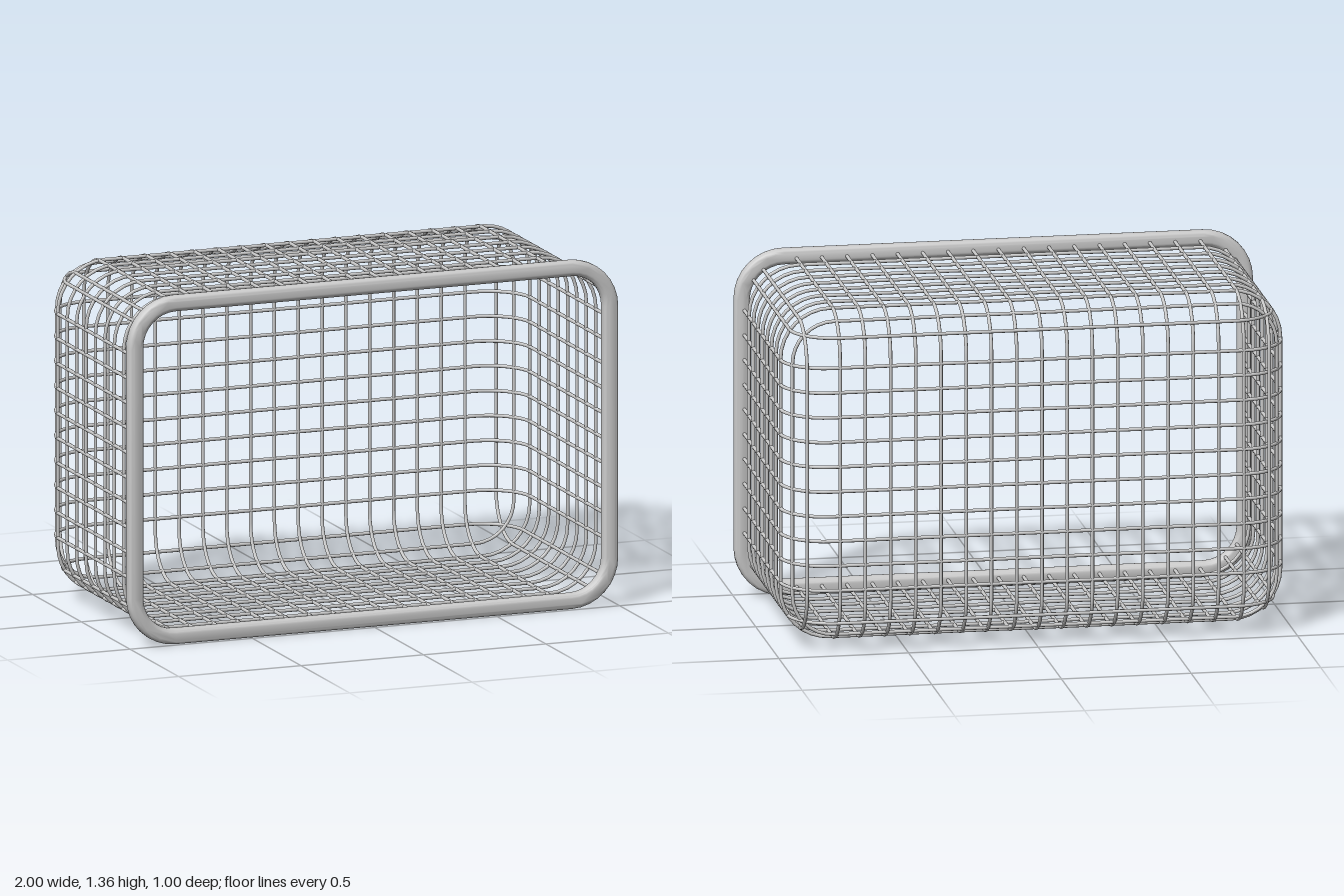
import * as THREE from 'three';
import { toCreasedNormals } from 'three/addons/utils/BufferGeometryUtils.js';

const MID_Y = 0.678;              // height of the basket's centre line
const HALF_W = 0.964, HALF_H = 0.643; // wire cage half sizes
const CORNER = 0.19;              // cage corner radius seen from the front
const BEND = 0.17;                // bend radius towards the back
const BACK = -0.493, FRONT = 0.47;
const WIRE = 0.007, STEP = 0.0973;

// Path through given points, with one tube section per point
class WirePath extends THREE.Curve {
  constructor(points, closed) {
    super();
    this.points = points;
    this.closed = closed;
  }
  getPointAt(u, target = new THREE.Vector3()) {
    return target.copy(this.points[Math.round(u * (this.points.length - 1))]);
  }
  getPoint(u, target) { return this.getPointAt(u, target); }
  getTangentAt(u, target = new THREE.Vector3()) {
    const p = this.points, n = p.length - 1, i = Math.round(u * n);
    const before = i > 0 ? i - 1 : this.closed ? n - 1 : -1;
    const after = i < n ? i + 1 : this.closed ? 1 : -1;
    target.set(0, 0, 0);
    if (before >= 0) target.add(p[i].clone().sub(p[before]).normalize());
    if (after >= 0) target.add(p[after].clone().sub(p[i]).normalize());
    return target.normalize();
  }
}

// Points of a quarter arc
function arc(cx, cy, r, start, steps = 8) {
  return Array.from({ length: steps + 1 }, (_, i) => {
    const a = start + (i / steps) * Math.PI / 2;
    return [cx + r * Math.cos(a), cy + r * Math.sin(a)];
  });
}

// U shape in (s, z): down one side, across the back, up the other side
function uPoints(half) {
  return [
    [-half, FRONT],
    ...arc(-half + BEND, BACK + BEND, BEND, Math.PI),
    ...arc(half - BEND, BACK + BEND, BEND, Math.PI * 1.5),
    [half, FRONT],
  ];
}

// Closed rounded rectangle in (x, y)
function ringPoints(w, h, r) {
  const pts = [
    ...arc(w - r, h - r, r, 0),
    ...arc(-w + r, h - r, r, Math.PI / 2),
    ...arc(-w + r, -h + r, r, Math.PI),
    ...arc(w - r, -h + r, r, Math.PI * 1.5),
  ];
  return [...pts, pts[0]];
}

// How far a rounded corner of radius r draws in, at distance d from the edge
const inset = (r, d) => (d >= r ? 0 : r - Math.sqrt(r * r - (r - d) ** 2));

export function createModel() {
  const group = new THREE.Group();
  const material = new THREE.MeshStandardMaterial({ color: 0xcccccc });

  const addWire = (name, points, closed = false) => {
    const geo = new THREE.TubeGeometry(new WirePath(points, closed), points.length - 1, WIRE, 8, closed);
    const mesh = new THREE.Mesh(geo, material);
    mesh.name = name;
    group.add(mesh);
  };

  // Front rim: rounded frame with softened edges
  const outline = (Type, w, h, r) => new Type(ringPoints(w, h, r).slice(0, -1).map(([x, y]) => new THREE.Vector2(x, y)));
  const frame = outline(THREE.Shape, 1, MID_Y, 0.19);
  frame.holes.push(outline(THREE.Path, 0.94, MID_Y - 0.06, 0.13));
  const bevel = 0.018;
  const rimGeo = new THREE.ExtrudeGeometry(frame, {
    depth: 0.055 - 2 * bevel, bevelEnabled: true, bevelSize: bevel,
    bevelThickness: bevel, bevelOffset: -bevel, bevelSegments: 4,
  });
  const rim = new THREE.Mesh(toCreasedNormals(rimGeo, 0.7), material);
  rim.name = 'frontRim';
  rim.position.set(0, MID_Y, 0.445 + bevel);
  group.add(rim);

  // Upright U wires: top, back and bottom
  const xs = [-0.892, ...Array.from({ length: 17 }, (_, i) => -0.794 + i * STEP), 0.89];
  for (const x of xs) {
    const half = HALF_H - inset(CORNER, HALF_W - Math.abs(x));
    addWire('uprightWire', uPoints(half).map(([s, z]) => new THREE.Vector3(x, MID_Y + s, z)));
  }

  // Level U wires: left, back and right
  const ys = [0.125, ...Array.from({ length: 10 }, (_, i) => 0.254 + i * STEP - i * 0.0005), 1.242];
  for (const y of ys) {
    const half = HALF_W - inset(CORNER, HALF_H - Math.abs(y - MID_Y));
    addWire('levelWire', uPoints(half).map(([s, z]) => new THREE.Vector3(s, y, z)));
  }

  // Ring wires around the basket, the last one drawn in on the back bend
  for (let i = 0; i < 9; i++) {
    const z = i < 8 ? 0.346 - i * 0.097 : -0.42;
    const d = inset(BEND, z - BACK);
    const pts = ringPoints(HALF_W - d, HALF_H - d, CORNER - d);
    addWire('ringWire', pts.map(([x, y]) => new THREE.Vector3(x, MID_Y + y, z)), true);
  }

  return group;
}
